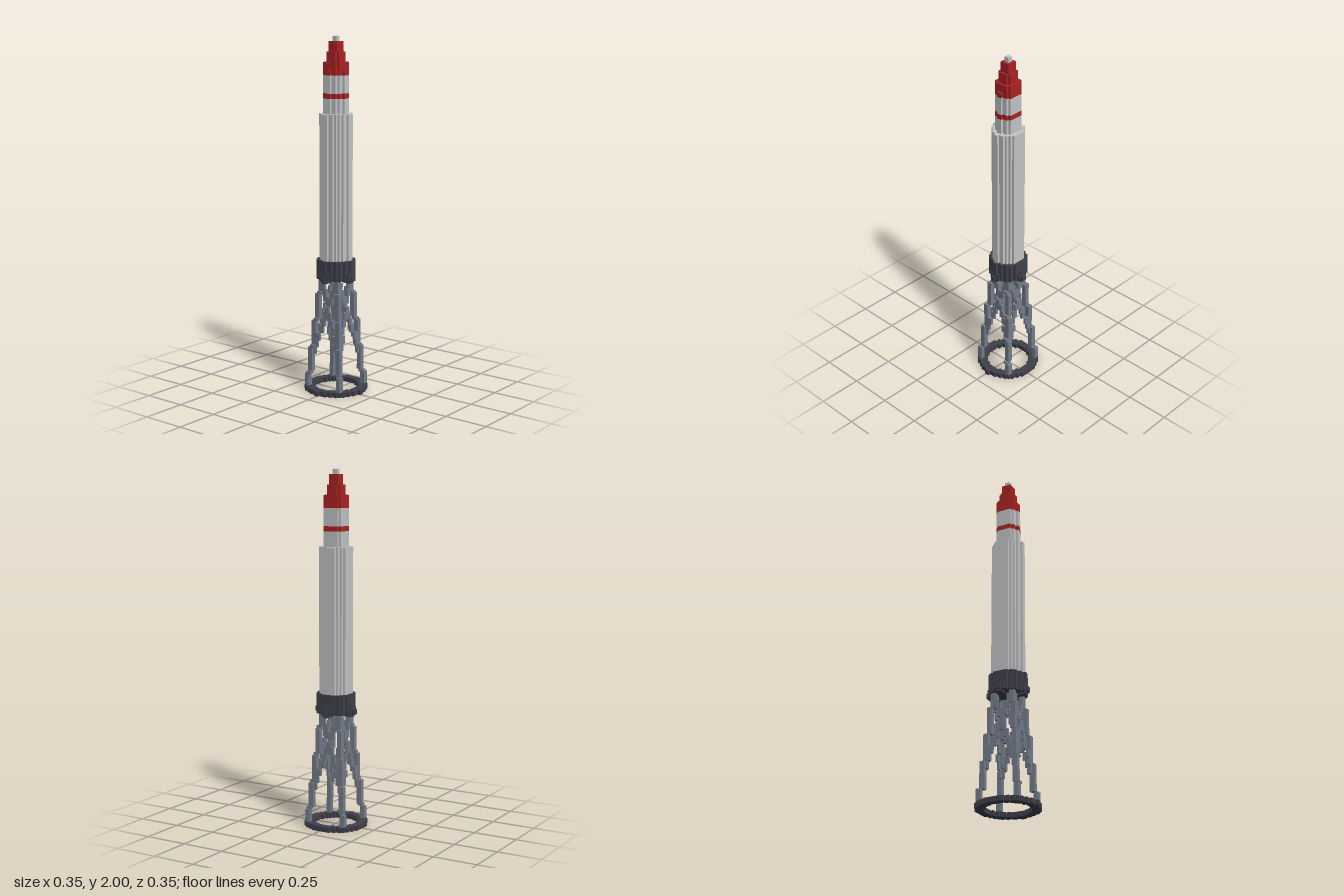
import * as THREE from 'three';
import { mergeGeometries } from 'three/addons/utils/BufferGeometryUtils.js';

const V = 2 / 142;      // edge of one block
const AXIS = -0.5;      // the rocket's axis lies half a block off the middle

const paint = (name, color) => {
  const m = new THREE.MeshStandardMaterial({ color });
  m.name = name;
  return m;
};

// Box given in blocks: x and z measured from the rocket's axis, y from the ground
function block(x0, x1, y0, y1, z0, z1) {
  const g = new THREE.BoxGeometry((x1 - x0) * V, (y1 - y0) * V, (z1 - z0) * V);
  g.translate(((x0 + x1) / 2 + AXIS) * V, ((y0 + y1) / 2) * V, ((z0 + z1) / 2 + AXIS) * V);
  return g;
}

// Blocky disc: one row of blocks per z step, optionally with a hole and edge tabs
function disc(n, y0, y1, { hole = 0, tabs = true } = {}) {
  const out = [];
  const half = (r2, d) => {
    let k = 0;
    while ((k + 0.5) ** 2 + d * d <= r2) k++;
    return k;
  };
  for (let z = -n; z < n; z++) {
    const w = half(n * n + 0.65 * n, z + 0.5);
    const h = hole ? half(hole * hole, z + 0.5) : 0;
    if (h) {
      out.push(block(-w, -h, y0, y1, z, z + 1), block(h, w, y0, y1, z, z + 1));
    } else {
      out.push(block(-w, w, y0, y1, z, z + 1));
    }
  }
  if (tabs) out.push(block(-1, 1, y0, y1, n, n + 1), block(n, n + 1, y0, y1, -1, 1));
  return out;
}

// Stepped strut following centre(y), merging layers that share a position
function strut(y0, y1, centre, wx, wz) {
  const out = [];
  const at = (y) => {
    const [x, z] = centre(y + 0.5);
    const snap = (v, w) => (Math.round(v - w / 2) + w / 2);
    return [snap(x, wx), snap(z, wz)];
  };
  let start = y0;
  for (let y = y0 + 1; y <= y1; y++) {
    const [x, z] = at(start);
    const next = at(y);
    if (y === y1 || next[0] !== x || next[1] !== z) {
      out.push(block(x - wx / 2, x + wx / 2, start, y, z - wz / 2, z + wz / 2));
      start = y;
    }
  }
  return out;
}

export function createModel() {
  const model = new THREE.Group();
  model.name = 'rocket';
  const light = paint('light grey', 0xc2c4c6);
  const red = paint('red', 0xac2323);
  const dark = paint('charcoal', 0x40404b);
  const steel = paint('steel grey', 0x757d8a);

  const add = (name, geometries, material) => {
    const mesh = new THREE.Mesh(mergeGeometries(geometries), material);
    mesh.name = name;
    model.add(mesh);
  };

  // Stand: ground ring, four splayed legs and crossed braces
  add('baseRing', disc(12, 0, 2, { hole: 9 }), dark);
  const legOffset = (y) => 8 - (4 * (y - 2)) / 44;
  for (const sx of [-1, 1]) {
    for (const sz of [-1, 1]) {
      add('leg', strut(2, 46, (y) => [sx * legOffset(y), sz * legOffset(y)], 2, 2), steel);
    }
  }
  const LOW = 14, HIGH = 46;
  for (const side of [-1, 1]) {
    for (const lean of [-1, 1]) {
      const across = (y) => {
        const t = (y - LOW) / (HIGH - LOW);
        return lean * (legOffset(LOW) * (1 - t) - legOffset(HIGH) * t);
      };
      add('braceAcross', strut(LOW, HIGH, (y) => [across(y), side * legOffset(y)], 2, 1), steel);
      add('braceAlong', strut(LOW, HIGH, (y) => [side * legOffset(y), across(y)], 1, 2), steel);
    }
  }

  // Engine skirt with a rounded pod on each side
  add('engineSkirt', disc(7, 46, 54), dark);
  const podParts = [ // inner radius, outer radius, half width, bottom, top
    [4, 8, 2, 46, 49],
    [4, 8, 1, 45, 50],
    [8, 9, 1, 46, 48],
  ];
  for (const s of [-1, 1]) {
    const span = (a, b) => (s > 0 ? [a, b] : [-b, -a]);
    add('podX', podParts.map(([a, b, w, y0, y1]) => block(...span(a, b), y0, y1, -w, w)), dark);
    add('podZ', podParts.map(([a, b, w, y0, y1]) => block(-w, w, y0, y1, ...span(a, b))), dark);
  }

  // Fuselage
  add('lowerStage', disc(6, 54, 112), light);
  add('upperStageBottom', disc(4, 112, 118), light);
  add('stripe', disc(4, 118, 120), red);
  add('upperStageTop', disc(4, 120, 127), light);

  // Stepped nose cone and tip
  add('noseCone', [
    ...disc(4, 127, 129),
    ...disc(4, 129, 132, { tabs: false }),
    ...disc(3, 132, 136, { tabs: false }),
    ...disc(2, 136, 140, { tabs: false }),
  ], red);
  add('noseTip', [block(-1, 1, 140, 142, -1, 1)], light);

  return model;
}
